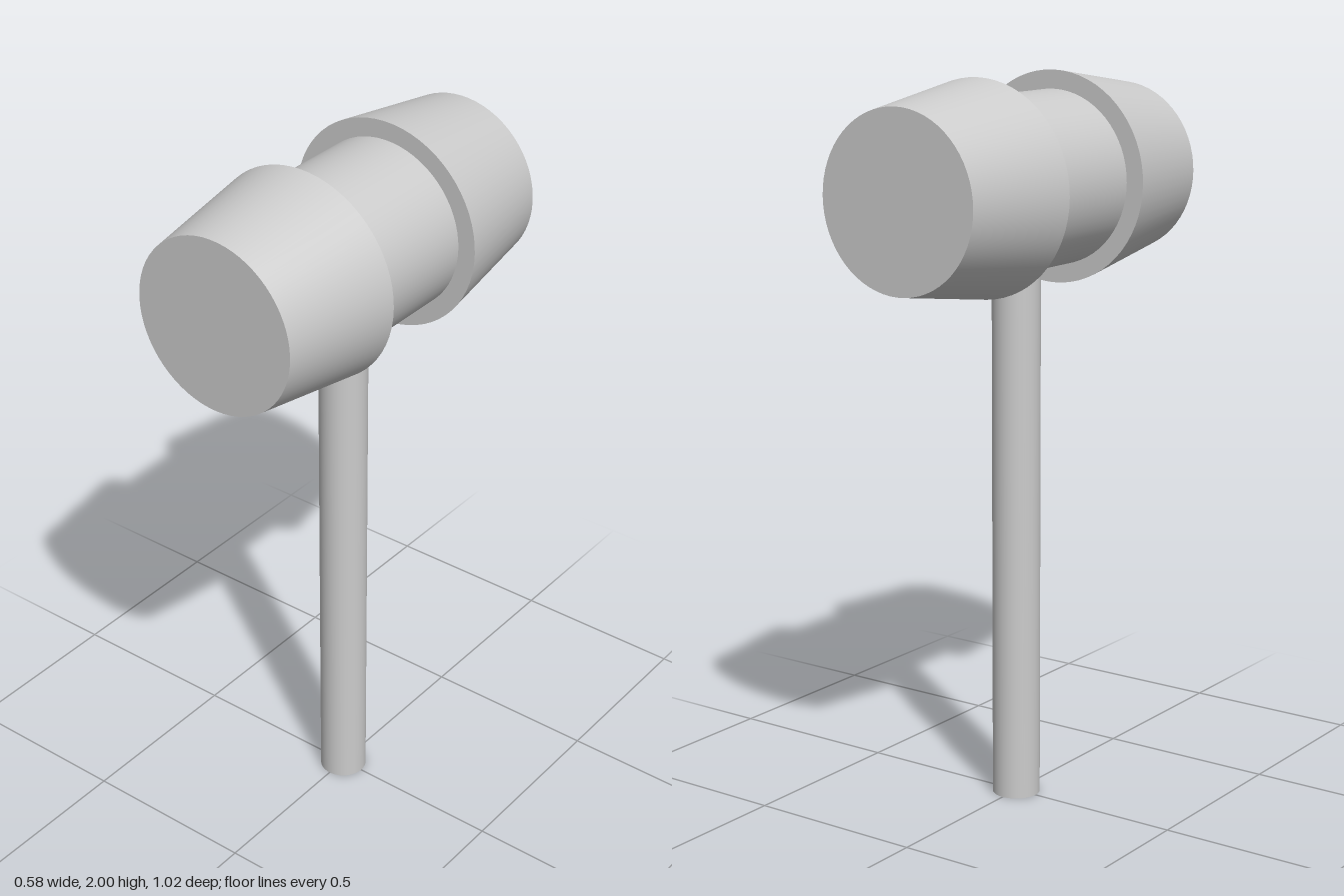
import * as THREE from 'three';

const HEAD_Y = 1.712;
const CORE_R = 0.237;
const RIM_R = 0.288;
const INNER_Z = 0.172;
const OUTER_Z = 0.512;

export function createModel() {
  const model = new THREE.Group();
  model.name = 'mallet';
  const material = new THREE.MeshStandardMaterial({ color: 0xcccccc });

  const addCylinder = (name, topR, bottomR, length, y, z = 0, tilt = 0) => {
    const mesh = new THREE.Mesh(new THREE.CylinderGeometry(topR, bottomR, length, 64), material);
    mesh.name = name;
    mesh.position.set(0, y, z);
    mesh.rotation.x = tilt;
    model.add(mesh);
  };

  // Handle, its top set a little way into the head
  const handleLength = 1.52;
  addCylinder('handle', 0.066, 0.066, handleLength, handleLength / 2);

  // Straight middle of the head
  addCylinder('headCore', CORE_R, CORE_R, INNER_Z * 2, HEAD_Y, 0, Math.PI / 2);

  // Tapered striking ends, widest towards the middle
  for (const [name, side] of [['frontStrikingEnd', 1], ['backStrikingEnd', -1]]) {
    addCylinder(name, CORE_R, RIM_R, OUTER_Z - INNER_Z, HEAD_Y,
      side * (INNER_Z + OUTER_Z) / 2, side * Math.PI / 2);
  }

  return model;
}
